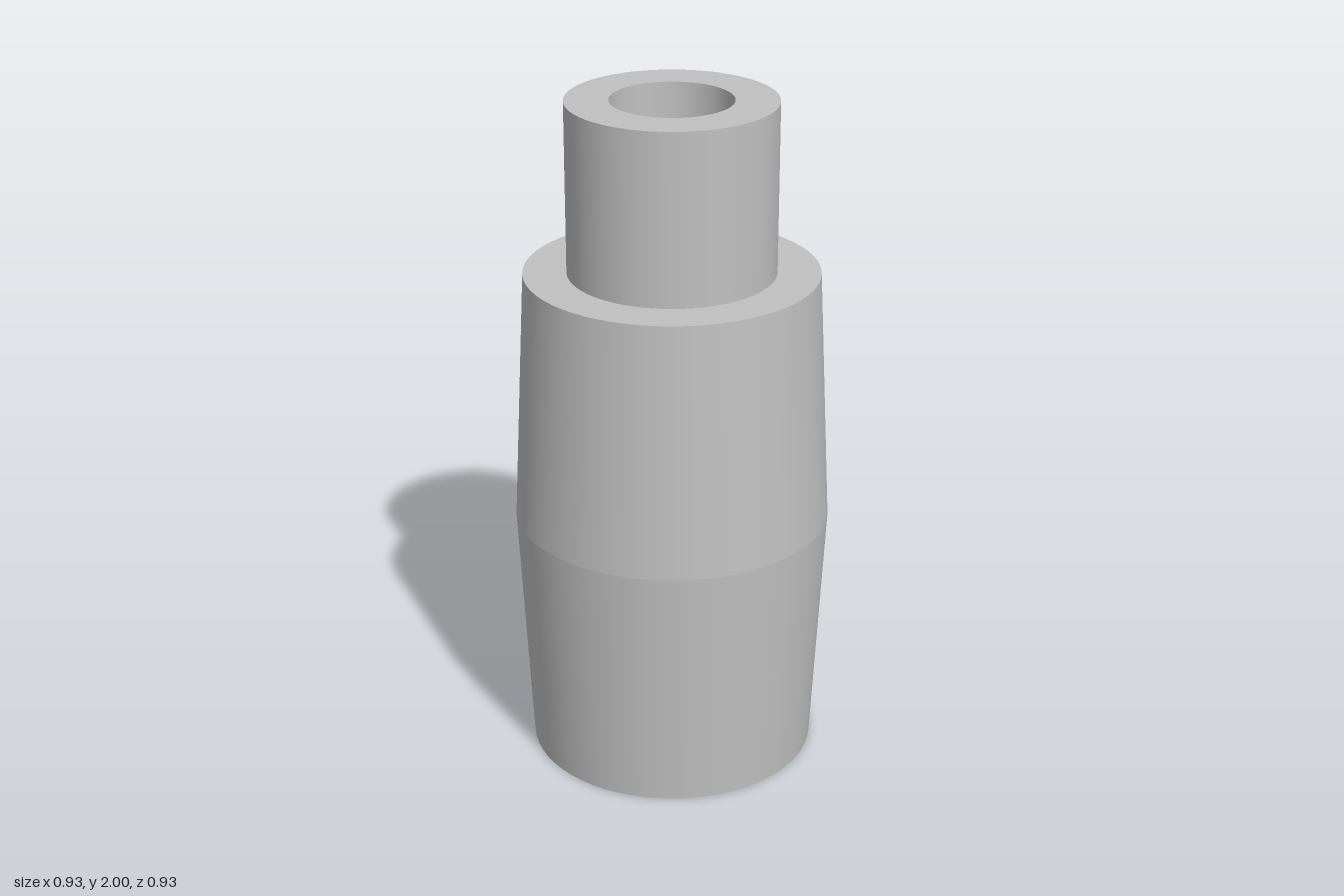
import * as THREE from 'three';
import { mergeGeometries } from 'three/addons/utils/BufferGeometryUtils.js';

const SEGMENTS = 64;
const STEP = (Math.PI * 2) / SEGMENTS;
const PATCH = 4 * STEP; // half angle of the drilled patch
const PATCH_H = 0.1; // half height of the drilled patch
const RIM = 32; // points round a drilled hole

// Points of a unit square outline, counter-clockwise, 8 per side
const square = Array.from({ length: RIM }, (_, i) => {
  const s = -1 + (i % 8) / 4;
  return [[1, s], [-s, 1], [-1, -s], [s, -1]][Math.floor(i / 8)];
});

// Surface of revolution between two [radius, y] points; going up faces outward
function ring(a, b, start = 0, segments = SEGMENTS) {
  const points = [a, b].map(([r, y]) => new THREE.Vector2(r, y));
  const g = new THREE.LatheGeometry(points, segments, start, segments * STEP);
  g.deleteAttribute('uv');
  return g;
}

function buffer(positions, normals, index) {
  const g = new THREE.BufferGeometry();
  g.setAttribute('position', new THREE.Float32BufferAttribute(positions, 3));
  g.setAttribute('normal', new THREE.Float32BufferAttribute(normals, 3));
  g.setIndex(index);
  return g;
}

// Wall between two [radius, y] points with a round hole in its back (-z)
function drilledWall(a, b, hole) {
  const slope = (b[0] - a[0]) / (b[1] - a[1]);
  const radius = (y) => a[0] + slope * (y - a[1]);
  const up = b[1] > a[1];
  const sign = up ? 1 : -1;
  const y0 = hole.y - sign * PATCH_H, y1 = hole.y + sign * PATCH_H;
  const p0 = [radius(y0), y0], p1 = [radius(y1), y1];

  // Patch blending from the round hole out to its square border
  const pos = [], nor = [], idx = [], rows = 4;
  for (let j = 0; j <= rows; j++) {
    square.forEach(([sx, sy], i) => {
      const t = Math.atan2(sy, sx), k = j / rows;
      const hy = hole.r * Math.sin(t);
      const hu = Math.asin((hole.r * Math.cos(t)) / radius(hole.y + hy));
      const u = Math.PI + THREE.MathUtils.lerp(hu, sx * PATCH, k);
      const y = hole.y + THREE.MathUtils.lerp(hy, sy * PATCH_H, k);
      const r = radius(y), len = sign / Math.hypot(1, slope);
      pos.push(r * Math.sin(u), y, r * Math.cos(u));
      nor.push(Math.sin(u) * len, -slope * len, Math.cos(u) * len);
      if (j === rows) return;
      const n = (i + 1) % RIM;
      const A = j * RIM + i, B = j * RIM + n, C = A + RIM, D = B + RIM;
      idx.push(...(up ? [A, C, D, A, D, B] : [A, D, C, A, B, D]));
    });
  }
  return mergeGeometries([
    ring(a, p0),
    ring(p0, p1, Math.PI + PATCH, SEGMENTS - 8),
    ring(p1, b),
    buffer(pos, nor, idx),
  ]);
}

// Lining of a drilled hole, from the outer wall to the bore
function holeLining(hole, outerRadius, innerRadius) {
  const pos = [], nor = [], idx = [];
  square.forEach(([sx, sy], i) => {
    const t = Math.atan2(sy, sx);
    const x = -hole.r * Math.cos(t), y = hole.y + hole.r * Math.sin(t);
    for (const r of [outerRadius(y), innerRadius]) {
      pos.push(x, y, -Math.sqrt(r * r - x * x));
      nor.push(Math.cos(t), -Math.sin(t), 0);
    }
    const o = 2 * i, p = 2 * ((i + 1) % RIM);
    idx.push(o, p, p + 1, o, p + 1, o + 1);
  });
  return buffer(pos, nor, idx);
}

export function createModel() {
  const group = new THREE.Group();
  const grey = new THREE.MeshStandardMaterial({ color: 0xc0c0c0 });
  grey.name = 'plain grey';
  const add = (name, geometry) => {
    const mesh = new THREE.Mesh(geometry, grey);
    mesh.name = name;
    group.add(mesh);
  };

  const END = 0.425, WAIST = 0.4625, SPIGOT = 0.3, SOCKET = 0.31, BORE = 0.175;
  const upperHole = { y: 1.75, r: 0.047 };
  const lowerHole = { y: 0.25, r: 0.04 };

  // Outside, bottom to top
  add('lowerBody', drilledWall([END, 0], [WAIST, 0.75], lowerHole));
  add('upperBody', ring([WAIST, 0.75], [END, 1.5]));
  add('shoulder', ring([END, 1.5], [SPIGOT, 1.5]));
  add('spigot', drilledWall([SPIGOT, 1.5], [SPIGOT, 2], upperHole));
  add('topRim', ring([SPIGOT, 2], [BORE, 2]));

  // Inside, top to bottom
  add('bore', drilledWall([BORE, 2], [BORE, 0.5], upperHole));
  add('socketCeiling', ring([BORE, 0.5], [SOCKET, 0.5]));
  add('socket', drilledWall([SOCKET, 0.5], [SOCKET, 0], lowerHole));
  add('bottomRim', ring([SOCKET, 0], [END, 0]));

  // Pin holes
  add('upperPinHole', holeLining(upperHole, () => SPIGOT, BORE));
  add('lowerPinHole', holeLining(lowerHole, (y) => END + ((WAIST - END) * y) / 0.75, SOCKET));

  return group;
}
